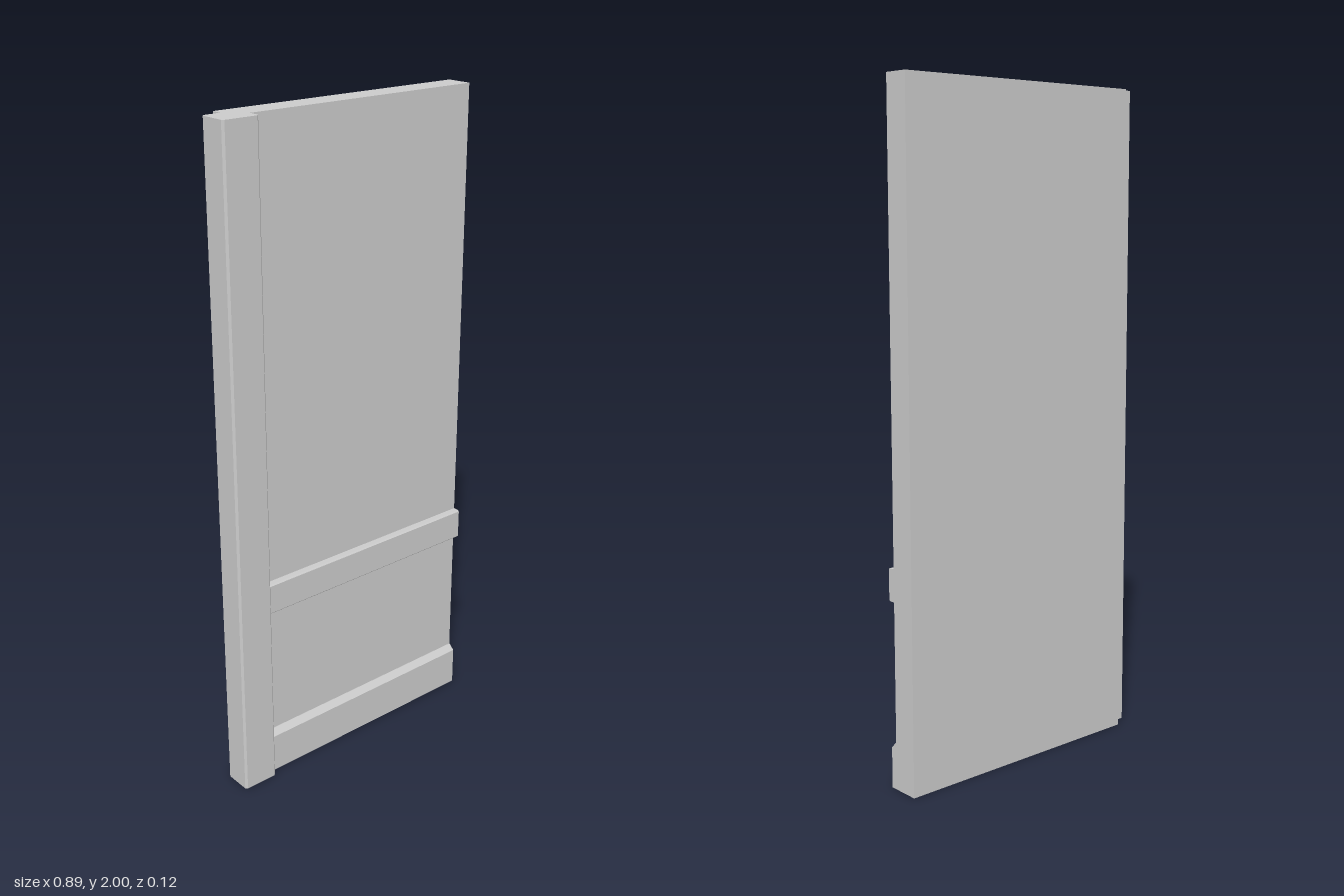
import * as THREE from 'three';

const material = new THREE.MeshStandardMaterial({ color: 0xcccccc, flatShading: true });

// Extrude a closed outline of [a, b] points along +z by the given length
function prism(name, points, length) {
  const shape = new THREE.Shape(points.map(([a, b]) => new THREE.Vector2(a, b)));
  const geometry = new THREE.ExtrudeGeometry(shape, { depth: length, bevelEnabled: false });
  const mesh = new THREE.Mesh(geometry, material);
  mesh.name = name;
  return mesh;
}

// Horizontal moulding: [z, y] section swept along x from x0 to x1
function moulding(name, section, x0, x1) {
  const mesh = prism(name, section, x1 - x0);
  mesh.geometry.rotateY(-Math.PI / 2); // section a -> z, sweep -> -x
  mesh.position.x = x1;
  return mesh;
}

// Upright: [x, z] section swept over the full height
function upright(name, section, height) {
  const mesh = prism(name, section.map(([x, z]) => [x, -z]), height);
  mesh.geometry.rotateX(-Math.PI / 2); // section b -> -z, sweep -> +y
  return mesh;
}

export function createModel() {
  const model = new THREE.Group();
  model.name = 'wallPanel';
  const H = 2, right = 0.443, postFace = -0.332;

  // Flat wall slab
  model.add(upright('wallSlab', [[-0.388, -0.062], [right, -0.062], [right, 0.019], [-0.388, 0.019]], H));

  // Edge post with small chamfered corners
  const l = -0.445, b = -0.03, f = 0.06, c = 0.006;
  model.add(upright('edgePost', [
    [l + c, b], [postFace - c, b], [postFace, b + c], [postFace, f - c],
    [postFace - c, f], [l + c, f], [l, f - c], [l, b + c],
  ], H));

  // Chair rail with softened front edges
  model.add(moulding('chairRail', [
    [0.015, 0.555], [0.037, 0.555], [0.041, 0.559], [0.041, 0.647], [0.037, 0.651], [0.015, 0.651],
  ], postFace, right));

  // Skirting board with a sloped top
  model.add(moulding('skirtingBoard', [
    [0.015, 0], [0.039, 0], [0.039, 0.122], [0.022, 0.139], [0.015, 0.139],
  ], postFace, right));

  return model;
}
